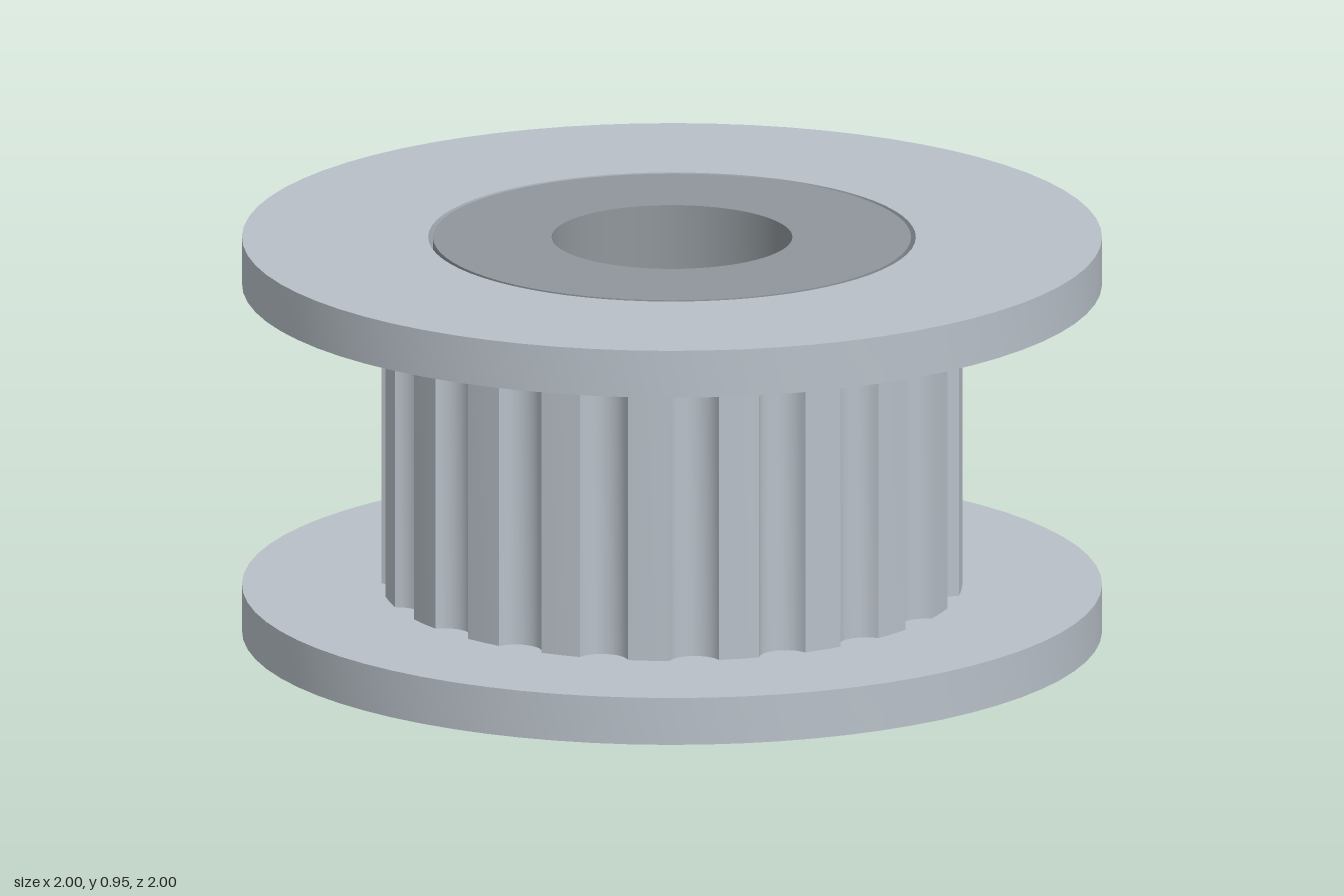
import * as THREE from 'three';
import { toCreasedNormals } from 'three/addons/utils/BufferGeometryUtils.js';

const TEETH = 20;
const HEIGHT = 0.95;
const FLANGE = 0.113;
const INNER = 0.567;

// Upright prism of an outline with a round hole, smooth round the curves
function ringPrism(outline, holeRadius, height) {
  const shape = new THREE.Shape(outline);
  shape.holes.push(new THREE.Path(circle(holeRadius)));
  const geometry = new THREE.ExtrudeGeometry(shape, { depth: height, bevelEnabled: false });
  geometry.rotateX(-Math.PI / 2);
  return toCreasedNormals(geometry, 0.45);
}

function circle(radius, sides = 72) {
  return Array.from({ length: sides }, (_, i) => {
    const a = (i / sides) * Math.PI * 2;
    return new THREE.Vector2(radius * Math.cos(a), radius * Math.sin(a));
  });
}

// Round outline cut by evenly spaced arc-shaped grooves
function toothedOutline() {
  const outer = 0.675, halfWidth = 0.058, depth = 0.04, steps = 10;
  const r = (halfWidth ** 2 + depth ** 2) / (2 * depth);
  const centre = Math.sqrt(outer ** 2 - halfWidth ** 2) - depth + r;
  const sweep = Math.acos((r - depth) / r);
  const origin = new THREE.Vector2();
  const points = [];
  for (let i = 0; i < TEETH; i++) {
    const angle = (i / TEETH) * Math.PI * 2;
    for (let k = 0; k <= steps; k++) {
      const t = sweep * (2 * k / steps - 1);
      points.push(new THREE.Vector2(centre - r * Math.cos(t), r * Math.sin(t)).rotateAround(origin, angle));
    }
    // middle of the land between two grooves
    points.push(new THREE.Vector2(outer, 0).rotateAround(origin, angle + Math.PI / TEETH));
  }
  return points;
}

export function createModel() {
  const model = new THREE.Group();
  model.name = 'timingPulley';

  const lightMetal = new THREE.MeshStandardMaterial({ color: 0xb8c0c8 });
  lightMetal.name = 'lightMetal';
  const darkMetal = new THREE.MeshStandardMaterial({ color: 0x8f969b });
  darkMetal.name = 'darkMetal';

  const add = (name, geometry, material, y) => {
    const mesh = new THREE.Mesh(geometry, material);
    mesh.name = name;
    mesh.position.y = y;
    model.add(mesh);
  };

  // Toothed hub between two flat flanges
  const flange = ringPrism(circle(1), INNER, FLANGE);
  add('bottomFlange', flange, lightMetal, 0);
  add('topFlange', flange, lightMetal, HEIGHT - FLANGE);
  add('toothedHub', ringPrism(toothedOutline(), INNER, HEIGHT - 2 * FLANGE), lightMetal, FLANGE);

  // Bearing sleeve with a fine clearance gap around it
  add('bearingSleeve', ringPrism(circle(0.556), 0.28, HEIGHT), darkMetal, 0);

  return model;
}
